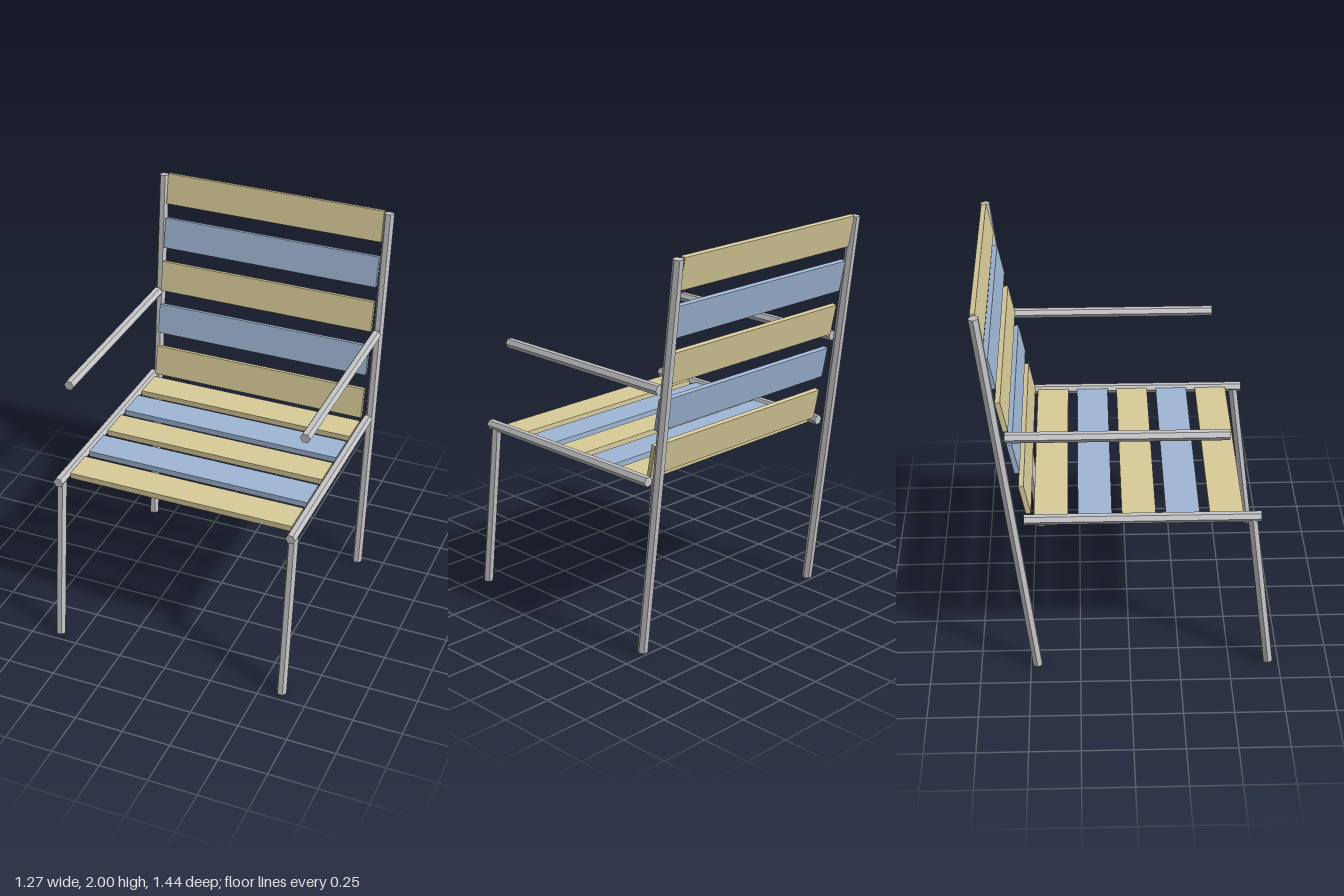
import * as THREE from 'three';

const PIPE_RADIUS = 0.026;
const SIDE_X = 0.61;
const SLAT_WIDTH = 1.17;

export function createModel() {
  const chair = new THREE.Group();
  chair.name = 'slattedArmchair';

  const material = (name, color) => {
    const m = new THREE.MeshStandardMaterial({ color, flatShading: true });
    m.name = name;
    return m;
  };
  const metal = material('greyMetal', 0xc6c6c9);
  const tan = material('tanSlat', 0xd9cc9a);
  const blue = material('blueSlat', 0xa0b7d6);

  // Six-sided pipe between two [y, z] points, mirrored on both sides
  function pipePair(name, [y0, z0], [y1, z1]) {
    const length = Math.hypot(y1 - y0, z1 - z0);
    const geometry = new THREE.CylinderGeometry(
      PIPE_RADIUS, PIPE_RADIUS, length, 6, 1, false, Math.PI / 2);
    for (const [side, s] of [['left', 1], ['right', -1]]) {
      const pipe = new THREE.Mesh(geometry, metal);
      pipe.name = side + name;
      pipe.position.set(s * SIDE_X, (y0 + y1) / 2, (z0 + z1) / 2);
      pipe.rotation.x = Math.atan2(z1 - z0, y1 - y0);
      chair.add(pipe);
    }
  }

  // Frame
  pipePair('BackLeg', [0.003, -0.466], [1.99, -0.699]);
  pipePair('FrontLeg', [0.003, 0.699], [0.885, 0.588]);
  pipePair('SeatRail', [0.894, -0.51], [0.894, 0.631]);
  pipePair('Armrest', [1.36, -0.585], [1.36, 0.464]);

  // Alternating seat and backrest slats
  const seatSlat = new THREE.BoxGeometry(SLAT_WIDTH, 0.03, 0.163);
  const backSlat = new THREE.BoxGeometry(SLAT_WIDTH, 0.16, 0.025);
  for (let i = 0; i < 5; i++) {
    const colour = i % 2 ? blue : tan;

    const seat = new THREE.Mesh(seatSlat, colour);
    seat.name = 'seatSlat' + (i + 1);
    seat.position.set(0, 0.891, 0.464 - i * 0.211);
    chair.add(seat);

    const back = new THREE.Mesh(backSlat, colour);
    back.name = 'backSlat' + (i + 1);
    back.position.set(0, 0.991 + i * 0.232, -0.503 - i * 0.0465);
    back.rotation.x = -0.197;
    chair.add(back);
  }

  return chair;
}
